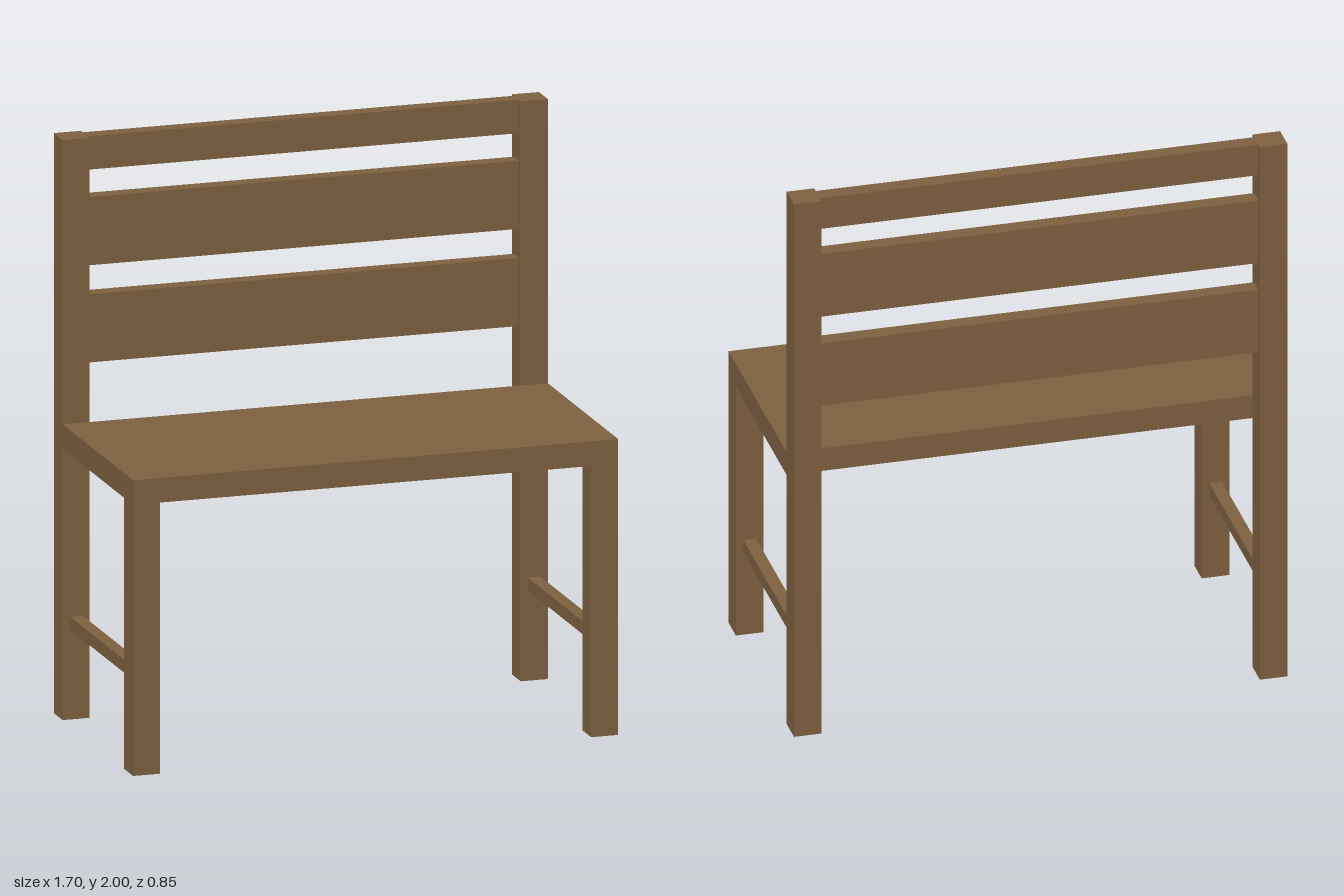
import * as THREE from 'three';

export function createModel() {
  const model = new THREE.Group();
  model.name = 'bench';

  const wood = new THREE.MeshStandardMaterial({ color: 0x7f6141, side: THREE.DoubleSide });
  wood.name = 'brown wood';

  // Adds a box given by its lowest and highest corners
  const addBox = (name, [x0, y0, z0], [x1, y1, z1]) => {
    const geometry = new THREE.BoxGeometry(x1 - x0, y1 - y0, z1 - z0);
    geometry.translate((x0 + x1) / 2, (y0 + y1) / 2, (z0 + z1) / 2);
    const mesh = new THREE.Mesh(geometry, wood);
    mesh.name = name;
    model.add(mesh);
    return mesh;
  };

  // Legs are hollow underneath: drop the bottom face (fourth side of the box)
  const openBottom = (mesh) => {
    const index = Array.from(mesh.geometry.index.array);
    index.splice(18, 6);
    mesh.geometry.setIndex(index);
    mesh.geometry.clearGroups();
  };

  // Seat, flush with the outer faces of the legs
  addBox('seat', [-0.85, 0.935, -0.33], [0.85, 1.02, 0.425]);

  // Legs and side stretchers, mirrored
  for (const [side, x] of [['left', 0.8025], ['right', -0.8025]]) {
    const h = 0.0475;
    openBottom(addBox(side + 'FrontLeg', [x - h, 0, 0.33], [x + h, 0.935, 0.425]));
    openBottom(addBox(side + 'BackPost', [x - h, 0, -0.425], [x + h, 2, -0.33]));
    addBox(side + 'Stretcher', [x - 0.022, 0.31, -0.33], [x + 0.022, 0.355, 0.33]);
  }

  // Back rest: two wide slats and a narrow top rail
  const slats = [['lowerSlat', 1.22, 1.455], ['upperSlat', 1.555, 1.79], ['topRail', 1.885, 2]];
  for (const [name, y0, y1] of slats) {
    addBox(name, [-0.755, y0, -0.405], [0.755, y1, -0.35]);
  }

  return model;
}
